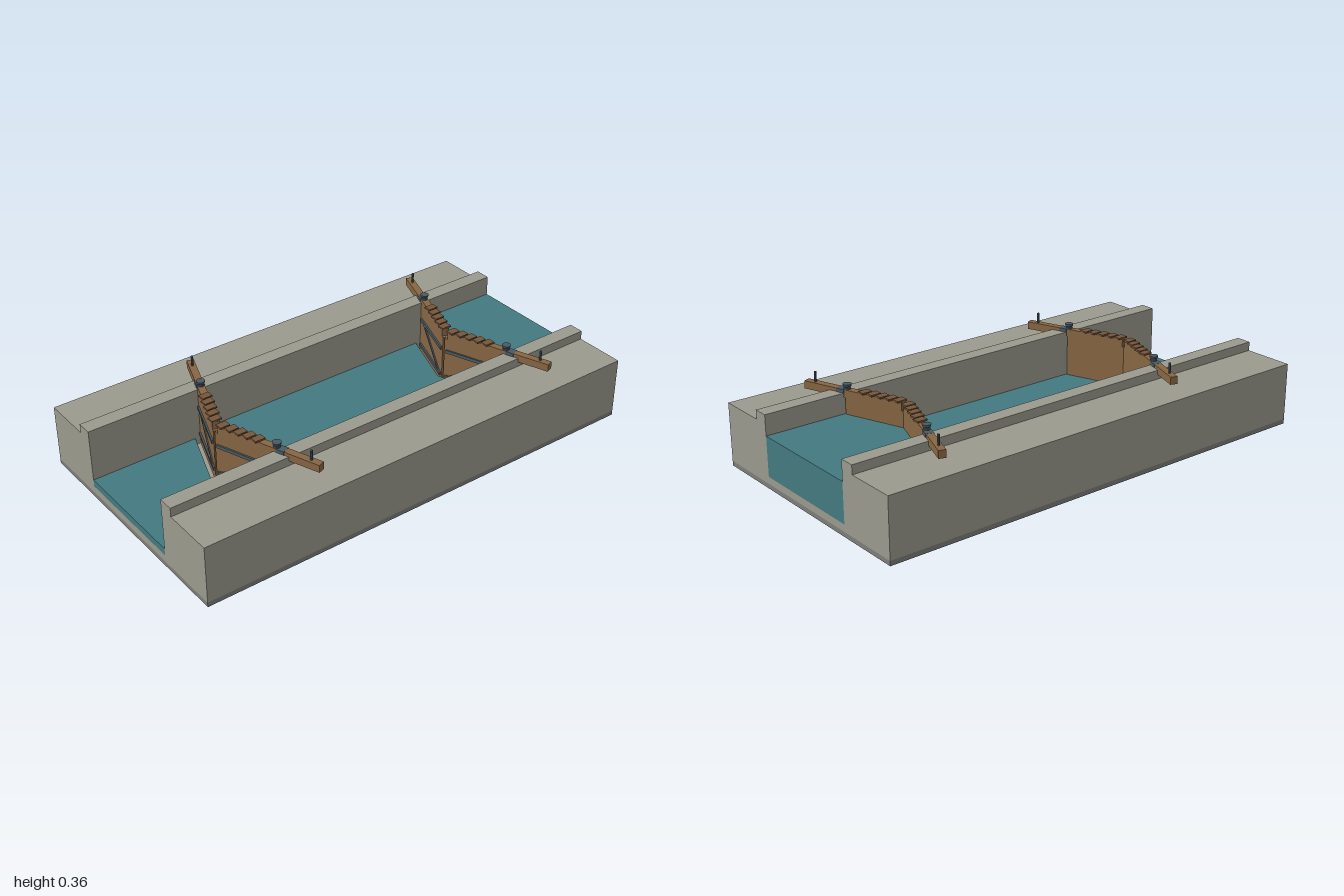
import * as THREE from 'three';

const mat = (color) => new THREE.MeshStandardMaterial({ color, flatShading: true });
const stone = mat(0x9b9a8e), footing = mat(0x7d7e79), water = mat(0x437a80);
const wood = mat(0x876643), deck = mat(0x76563a), iron = mat(0x4b5b63);

const ANGLE = 0.35;           // how far each leaf is swung from straight across
const HALF = 0.26;            // half width of the channel
const DROP = HALF * Math.tan(ANGLE);

function add(parent, name, geometry, material, x = 0, y = 0, z = 0) {
  const mesh = new THREE.Mesh(geometry, material);
  mesh.name = name;
  mesh.position.set(x, y, z);
  parent.add(mesh);
  return mesh;
}

// Box given by its x and y ranges, a depth and the z of its centre
function slab(parent, name, material, x0, x1, y0, y1, depth, z = 0) {
  return add(parent, name, new THREE.BoxGeometry(x1 - x0, y1 - y0, depth), material,
    (x0 + x1) / 2, (y0 + y1) / 2, z);
}

// Water body over a plan outline of [x, z] points, from the floor up to a level
function waterBody(parent, name, outline, level) {
  const shape = new THREE.Shape(outline.map(([x, z]) => new THREE.Vector2(x, -z)));
  const geometry = new THREE.ExtrudeGeometry(shape, { depth: level - 0.05, bevelEnabled: false });
  geometry.rotateX(-Math.PI / 2);
  add(parent, name, geometry, water, 0, 0.05, 0);
}

// One leaf with its balance beam; its origin is where the two leaves meet
function gateLeaf() {
  const side = new THREE.Group();
  const leaf = new THREE.Group();
  leaf.name = 'swingingLeaf';
  leaf.rotation.y = ANGLE;
  side.add(leaf);
  const length = HALF / Math.cos(ANGLE);

  slab(leaf, 'leafPanel', wood, 0, length, 0.05, 0.285, 0.03);
  slab(leaf, 'balanceBeam', wood, 0.013, 0.474, 0.285, 0.317, 0.03);

  // Iron bracing on the front face
  slab(leaf, 'lowerStrap', iron, 0.01, 0.258, 0.096, 0.11, 0.008, 0.018);
  slab(leaf, 'upperStrap', iron, 0.01, 0.258, 0.221, 0.235, 0.008, 0.018);
  const dx = 0.205, dy = 0.122;
  const brace = add(leaf, 'diagonalBrace', new THREE.BoxGeometry(Math.hypot(dx, dy), 0.01, 0.006),
    iron, 0.13, 0.166, 0.017);
  brace.rotation.z = Math.atan2(dy, dx);

  // Hinge collar, capped pivot and push handle
  slab(leaf, 'hingeCollar', iron, 0.282, 0.318, 0.287, 0.3175, 0.034);
  add(leaf, 'pivotBase', new THREE.CylinderGeometry(0.014, 0.014, 0.006, 12), iron, length, 0.32, 0);
  add(leaf, 'pivotStem', new THREE.CylinderGeometry(0.009, 0.009, 0.014, 12), iron, length, 0.325, 0);
  add(leaf, 'pivotCap', new THREE.CylinderGeometry(0.018, 0.016, 0.01, 12), iron, length, 0.334, 0);
  add(leaf, 'pushHandle', new THREE.CylinderGeometry(0.005, 0.005, 0.044, 8), iron, 0.43, 0.338, 0);

  // Stepped footboards, square to the channel
  for (let i = 0; i < 5; i++) {
    const x = 0.028 + i * 0.038;
    slab(side, 'footboard', deck, x - 0.016, x + 0.016, 0.317, 0.324, 0.044, -x * Math.tan(ANGLE));
  }
  return side;
}

function gatePair(name, z) {
  const pair = new THREE.Group();
  pair.name = name;
  pair.position.z = z;
  for (const s of [1, -1]) {
    const side = gateLeaf();
    side.name = s > 0 ? 'leftGate' : 'rightGate';
    side.scale.x = s;
    pair.add(side);
  }
  return pair;
}

export function createModel() {
  const model = new THREE.Group();
  model.name = 'canalLock';

  // Footing and the channel walls with raised copings
  slab(model, 'footing', footing, -0.54, 0.54, 0, 0.02, 2);
  const half = [[HALF, 0.05], [HALF, 0.303], [0.325, 0.303], [0.325, 0.265], [0.54, 0.265], [0.54, 0.02]];
  const profile = [...half, ...half.map(([x, y]) => [-x, y]).reverse()];
  const walls = new THREE.ExtrudeGeometry(
    new THREE.Shape(profile.map(([x, y]) => new THREE.Vector2(x, y))),
    { depth: 2, bevelEnabled: false });
  add(model, 'channelWalls', walls, stone, 0, 0, -1);

  // Three water levels, each ending in a mitre along the gates
  const frontZ = 0.595, backZ = -0.54, gap = 0.04;
  const mitre = (z) => [[-HALF, z - DROP], [0, z], [HALF, z - DROP]];
  const across = (z) => [[HALF, z], [-HALF, z]];
  waterBody(model, 'lowerWater', [...mitre(frontZ + gap), ...across(1)], 0.08);
  waterBody(model, 'chamberWater', [...mitre(backZ + gap), ...mitre(frontZ).reverse()], 0.11);
  waterBody(model, 'upperWater', [...across(-1).reverse(), ...mitre(backZ).reverse()], 0.217);

  model.add(gatePair('lowerGates', frontZ), gatePair('upperGates', backZ));
  return model;
}
